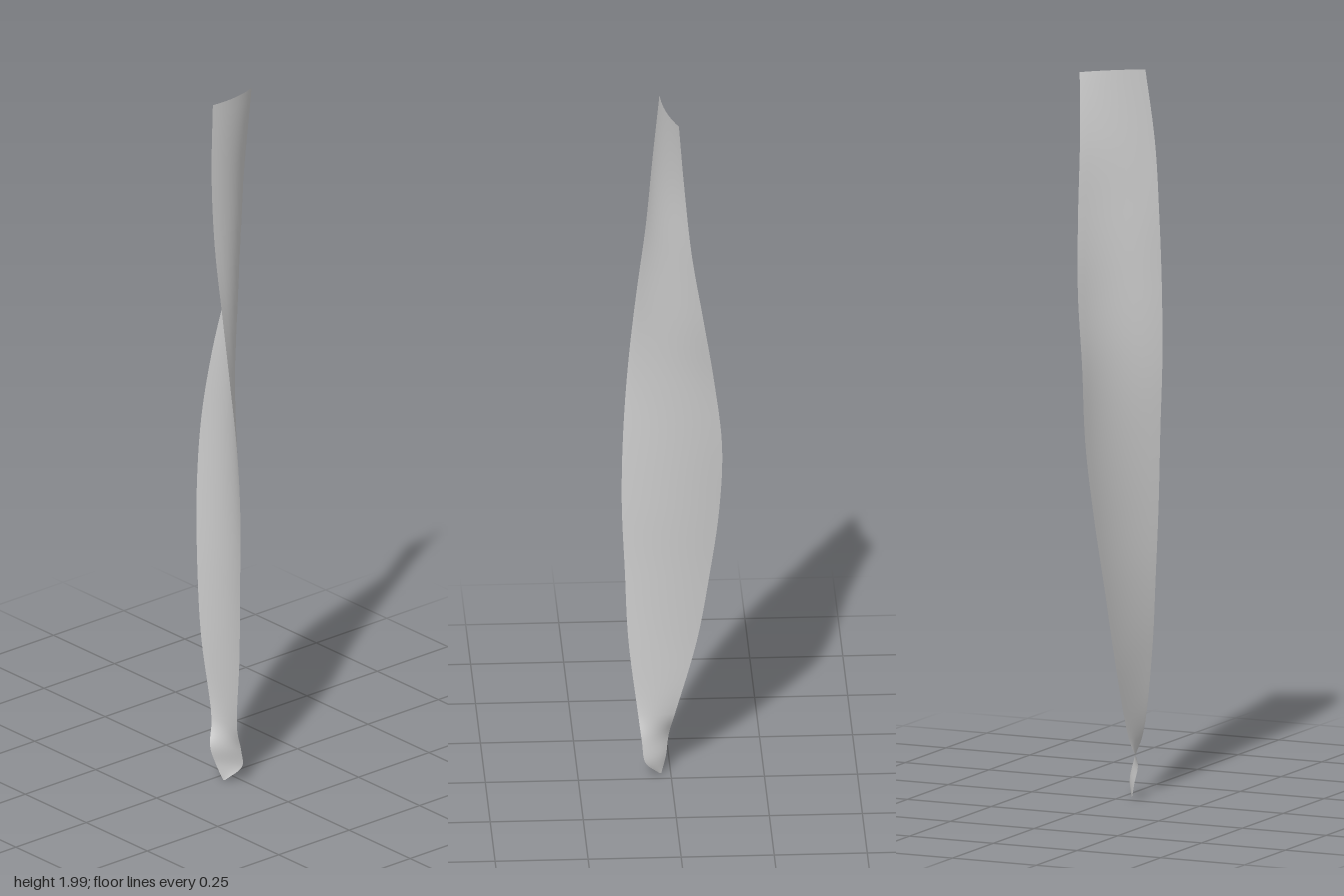
import * as THREE from 'three';

// Stations up the blade: [height, left x, left z, right x, right z, bow of the middle]
const stations = [
  [0.01, 0.025, 0.036, 0.03, 0.034, 0],
  [0.055, 0.012, 0.05, 0.07, 0.008, 0.004],
  [0.11, 0.004, 0.064, 0.078, 0.018, 0.004],
  [0.18, -0.012, 0.045, 0.087, 0.04, 0.003],
  [0.4, -0.07, 0.032, 0.113, 0.054, 0.006],
  [0.6, -0.103, 0.017, 0.122, 0.06, 0.012],
  [0.8, -0.128, -0.003, 0.13, 0.065, 0.02],
  [1.0, -0.135, -0.025, 0.126, 0.072, 0.027],
  [1.2, -0.113, -0.045, 0.112, 0.085, 0.033],
  [1.4, -0.082, -0.073, 0.09, 0.094, 0.034],
  [1.6, -0.05, -0.088, 0.064, 0.099, 0.029],
  [1.8, -0.03, -0.092, 0.046, 0.095, 0.019],
  [1.993, -0.015, -0.1, 0.028, 0.075, 0.01],
];

export function createModel() {
  const group = new THREE.Group();
  group.name = 'twistedLeaf';
  const leafGrey = new THREE.MeshStandardMaterial({ color: 0xcccccc, side: THREE.DoubleSide });
  leafGrey.name = 'leaf grey';

  // Smooth curves through both edges, and one for the bow
  const curve = (f) => new THREE.CatmullRomCurve3(stations.map(f), false, 'centripetal');
  const left = curve((s) => new THREE.Vector3(s[1], s[0], s[2]));
  const right = curve((s) => new THREE.Vector3(s[3], s[0], s[4]));
  const bows = curve((s) => new THREE.Vector3(s[5], s[0], 0));

  // Sweep a bowed cross-section between the two edges
  const rows = 72, cols = 10, positions = [], indices = [];
  for (let i = 0; i <= rows; i++) {
    const t = i / rows;
    const a = left.getPoint(t), b = right.getPoint(t), bow = bows.getPoint(t).x;
    const out = new THREE.Vector3(b.z - a.z, 0, a.x - b.x).normalize();
    // The cut top slopes slightly from edge to edge
    const slope = 0.007 * THREE.MathUtils.smoothstep(t, 0.9, 1);
    for (let j = 0; j <= cols; j++) {
      const u = j / cols;
      const p = a.clone().lerp(b, u).addScaledVector(out, bow * 4 * u * (1 - u));
      positions.push(p.x, p.y + slope * (2 * u - 1), p.z);
      if (i < rows && j < cols) {
        const k = i * (cols + 1) + j, n = k + cols + 1;
        indices.push(k, k + 1, n + 1, k, n + 1, n);
      }
    }
  }
  const geometry = new THREE.BufferGeometry();
  geometry.setAttribute('position', new THREE.Float32BufferAttribute(positions, 3));
  geometry.setIndex(indices);
  geometry.computeVertexNormals();

  const blade = new THREE.Mesh(geometry, leafGrey);
  blade.name = 'leafBlade';
  group.add(blade);
  return group;
}
